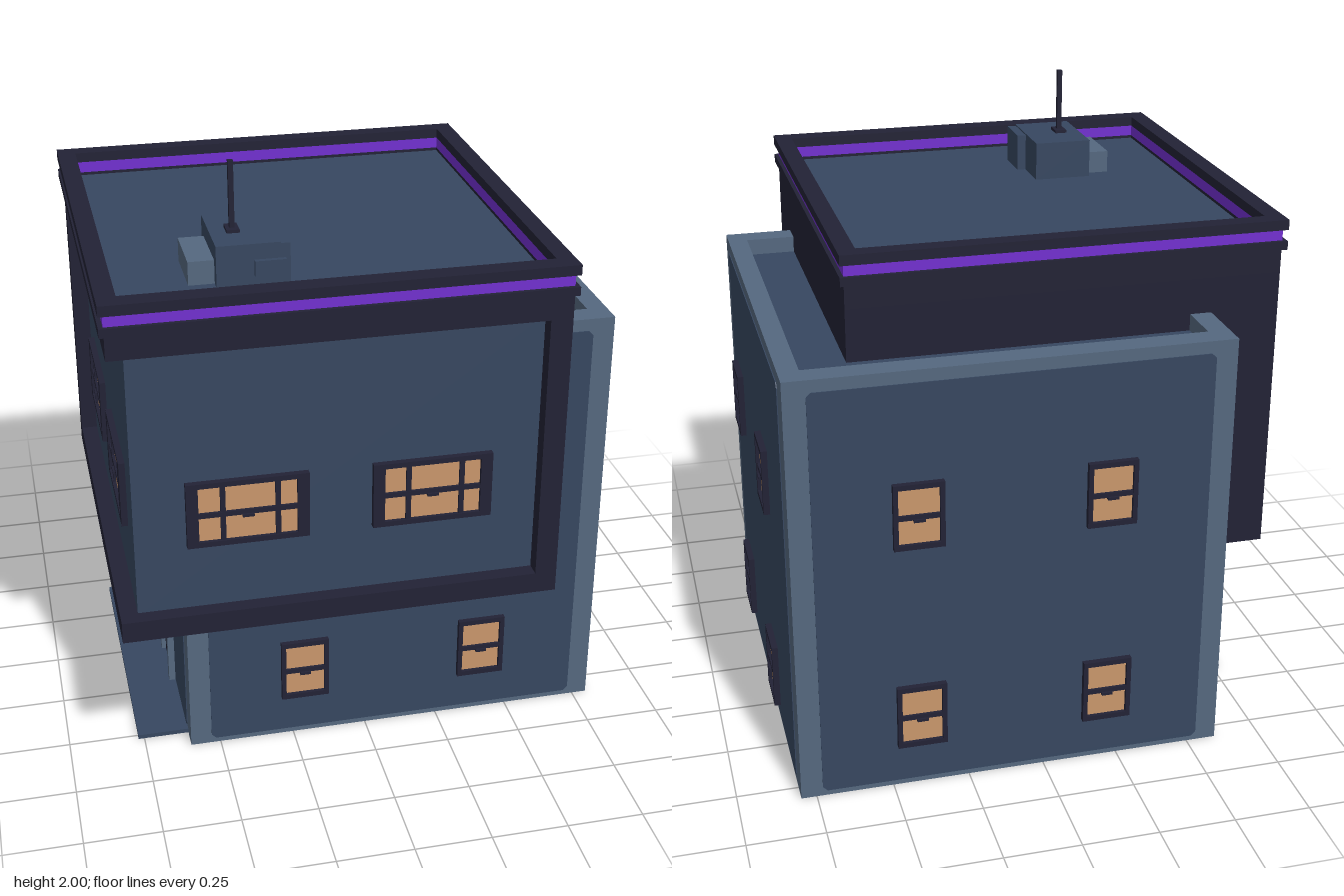
import * as THREE from 'three';

const mat = (name, color) => {
  const m = new THREE.MeshStandardMaterial({ color });
  m.name = name;
  return m;
};

export function createModel() {
  const wall = mat('slate wall', 0x374760);
  const trim = mat('pale slate trim', 0x55687f);
  const dark = mat('dark frame', 0x222235);
  const purple = mat('purple strip', 0x7230d0);
  const glass = mat('warm glass', 0xc9976c);

  const model = new THREE.Group();
  model.name = 'house';

  const add = (parent, name, geo, material) => {
    const m = new THREE.Mesh(geo, material);
    m.name = name;
    parent.add(m);
    return m;
  };
  // Box given by its limits on each axis
  const block = (parent, name, material, x0, x1, y0, y1, z0, z1) => {
    const m = add(parent, name, new THREE.BoxGeometry(x1 - x0, y1 - y0, z1 - z0), material);
    m.position.set((x0 + x1) / 2, (y0 + y1) / 2, (z0 + z1) / 2);
    return m;
  };
  // Rectangle outline, optionally with cut corners
  const rect = (Type, x0, x1, y0, y1, c = 0) => {
    const s = new Type();
    const pts = c
      ? [[x0 + c, y0], [x1 - c, y0], [x1, y0 + c], [x1, y1 - c], [x1 - c, y1], [x0 + c, y1], [x0, y1 - c], [x0, y0 + c]]
      : [[x0, y0], [x1, y0], [x1, y1], [x0, y1]];
    s.setFromPoints(pts.map(p => new THREE.Vector2(...p)));
    s.closePath();
    return s;
  };
  const extrude = (shape, depth) => new THREE.ExtrudeGeometry(shape, { depth, bevelEnabled: false });
  // Horizontal ring between two rectangles [x0, x1, z0, z1]
  const ring = (name, material, o, i, y0, y1) => {
    const s = rect(THREE.Shape, o[0], o[1], -o[3], -o[2]);
    s.holes.push(rect(THREE.Path, i[0], i[1], -i[3], -i[2]));
    const m = add(model, name, extrude(s, y1 - y0), material);
    m.rotation.x = -Math.PI / 2;
    m.position.y = y0;
  };

  // Main body with parapet
  block(model, 'body', [trim, trim, wall, wall, trim, trim], -0.6, 0.8, 0, 1.385, -0.81, 0.59);
  ring('bodyParapet', trim, [-0.6, 0.8, -0.81, 0.59], [-0.53, 0.735, -0.73, 0.51], 1.385, 1.44);

  // Wall panels with cut corners: facing angle, position, half width
  const panels = [
    ['frontPanel', 0, 0.1, 0.587, 0.63],
    ['backPanel', Math.PI, 0.1, -0.807, 0.63],
    ['rightPanel', Math.PI / 2, 0.797, -0.105, 0.615],
    ['leftPanel', -Math.PI / 2, -0.597, -0.105, 0.615],
  ];
  for (const [name, ry, x, z, w] of panels) {
    const m = add(model, name, extrude(rect(THREE.Shape, -w, w, 0.018, 1.4, 0.015), 0.006), wall);
    m.position.set(x, 0, z);
    m.rotation.y = ry;
  }

  // Overhanging upper storey: recessed walls held in a dark frame
  block(model, 'upperRoom', wall, -0.77, 0.51, 0.66, 1.56, -0.52, 0.77);
  block(model, 'upperFloor', dark, -0.825, 0.57, 0.6, 0.67, -0.575, 0.82);
  block(model, 'upperCeiling', dark, -0.825, 0.57, 1.555, 1.635, -0.575, 0.82);
  block(model, 'upperRightWall', dark, 0.5, 0.57, 0.67, 1.555, -0.575, 0.82);
  block(model, 'upperBackWall', dark, -0.825, 0.5, 0.67, 1.555, -0.575, -0.51);

  // Roof edge with glowing strip
  const inner = [-0.78, 0.525, -0.53, 0.765];
  const ledge = [-0.84, 0.583, -0.587, 0.83];
  ring('lowerCornice', dark, ledge, inner, 1.632, 1.66);
  ring('lightStrip', purple, [-0.826, 0.57, -0.574, 0.817], inner, 1.66, 1.697);
  ring('upperCornice', dark, ledge, inner, 1.697, 1.73);
  block(model, 'roof', wall, -0.785, 0.53, 1.62, 1.65, -0.535, 0.77);

  // Rooftop unit and mast
  const unit = new THREE.Group();
  unit.name = 'roofUnit';
  model.add(unit);
  block(unit, 'unitBox', wall, -0.465, -0.27, 1.65, 1.78, 0.3, 0.58);
  block(unit, 'unitSide', wall, -0.27, -0.24, 1.65, 1.775, 0.44, 0.578);
  block(unit, 'unitDuct', trim, -0.545, -0.465, 1.65, 1.725, 0.34, 0.545);
  block(unit, 'unitVent', wall, -0.35, -0.255, 1.68, 1.73, 0.58, 0.595);
  block(unit, 'mastBase', dark, -0.415, -0.375, 1.78, 1.79, 0.42, 0.48);
  block(unit, 'mast', dark, -0.403, -0.387, 1.79, 2, 0.444, 0.46);

  // Window facing local +z: frame, glass, bars and a catch
  const addWindow = (name, x, y, z, ry, wide = false) => {
    const g = new THREE.Group();
    g.name = name;
    const w = wide ? 0.19 : 0.08, gw = wide ? 0.153 : 0.065;
    const s = rect(THREE.Shape, -w, w, -0.11, 0.11);
    s.holes.push(rect(THREE.Path, -gw, gw, -0.093, 0.093));
    add(g, 'windowFrame', extrude(s, 0.02), dark);
    block(g, 'windowGlass', glass, -gw, gw, -0.093, 0.093, 0.001, 0.008);
    block(g, 'windowRail', dark, -gw, gw, -0.011, 0.005, 0.004, 0.017);
    block(g, 'windowCatch', dark, -0.018, 0.018, -0.017, -0.008, 0.01, 0.024);
    if (wide) for (const bx of [-0.077, 0.093])
      block(g, 'windowMullion', dark, bx - 0.008, bx + 0.008, -0.093, 0.093, 0.004, 0.016);
    g.position.set(x, y, z);
    g.rotation.y = ry;
    model.add(g);
  };
  for (const x of [-0.21, 0.4]) addWindow('frontWindow', x, 0.26, 0.59, 0);
  for (const y of [0.26, 0.97]) {
    for (const x of [-0.207, 0.405]) addWindow('backWindow', x, y, -0.812, Math.PI);
    for (const z of [0.2, -0.413]) addWindow('rightWindow', 0.815, y, z, Math.PI / 2);
  }
  for (const x of [-0.42, 0.16]) addWindow('upperFrontWindow', x, 1, 0.77, 0, true);
  for (const z of [-0.155, 0.42]) addWindow('upperLeftWindow', -0.77, 1, z, -Math.PI / 2, true);
  addWindow('lowerLeftWindow', -0.603, 0.26, -0.41, -Math.PI / 2, true);

  // Entrance: step, door and surround
  block(model, 'doorStep', wall, -0.77, -0.6, 0, 0.015, -0.42, 0.52);
  block(model, 'door', dark, -0.61, -0.6, 0.015, 0.255, 0.03, 0.2);
  for (const z of [0, 0.2]) block(model, 'doorJamb', trim, -0.625, -0.6, 0.015, 0.255, z, z + 0.03);
  block(model, 'doorLintel', trim, -0.625, -0.6, 0.255, 0.28, 0, 0.23);

  return model;
}
